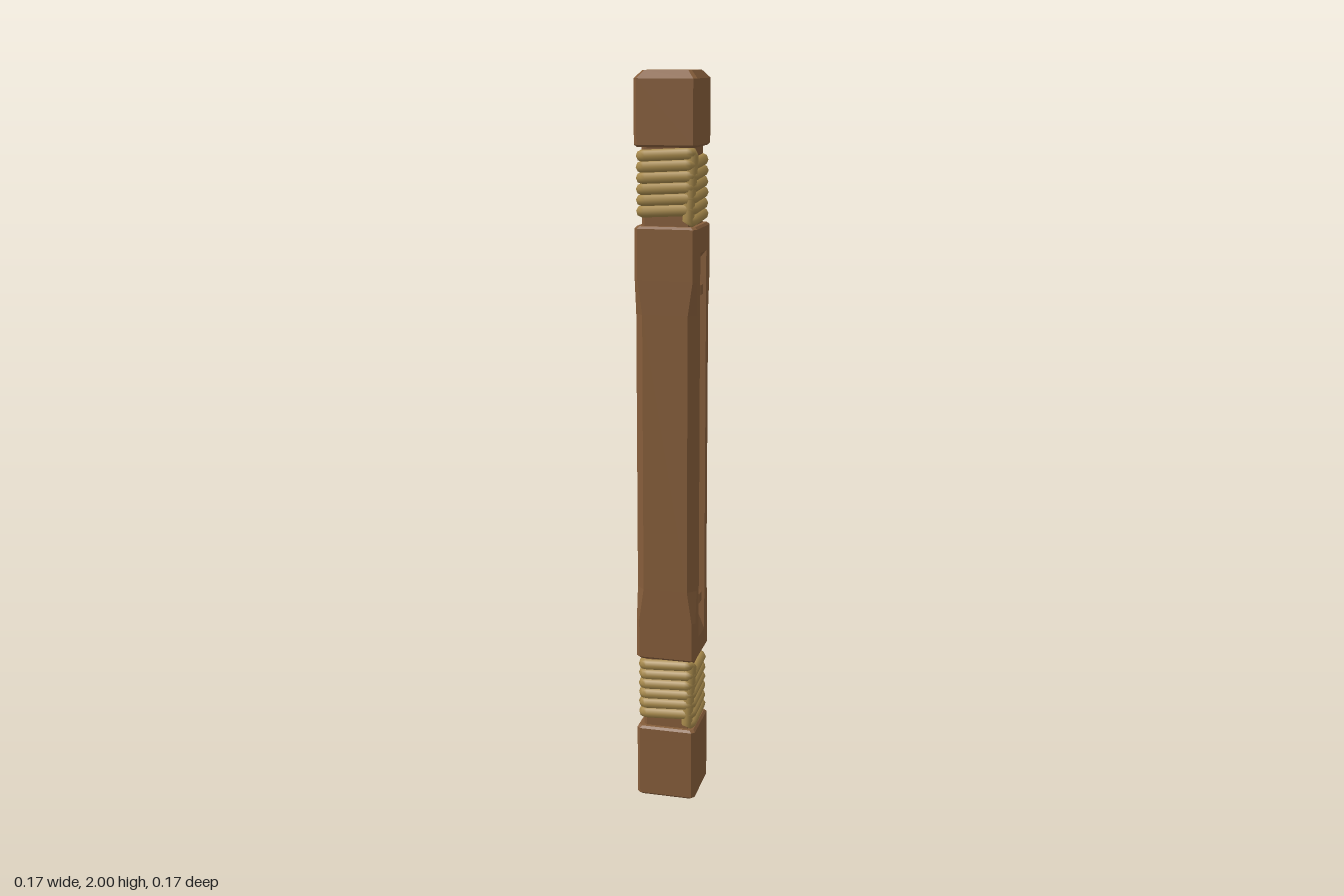
import * as THREE from 'three';

const SLOT = 0.035; // half width of the recessed grooves

// Square outline with chamfered corners and a groove of depth d on the right and back faces
function outline(h, c, d) {
  const k = h - c;
  const w = Math.min(SLOT, k);
  return [
    [h, -k], [h, -w], [h - d, -w], [h - d, w], [h, w], [h, k],
    [k, h], [-k, h], [-h, k], [-h, -k],
    [-k, -h], [-w, -h], [-w, -h + d], [w, -h + d], [w, -h], [k, -h],
  ];
}

// Closed, flat-faced loft through levels of [y, half width, chamfer, groove depth]
function loft(levels) {
  const rings = levels.map(([y, h, c, d = 0]) => outline(h, c, d).map(([x, z]) => [x, y, z]));
  const pos = [];
  const tri = (a, b, c) => pos.push(...a, ...b, ...c);
  const n = rings[0].length;
  for (let i = 0; i < rings.length - 1; i++) {
    for (let j = 0; j < n; j++) {
      const k = (j + 1) % n;
      tri(rings[i][j], rings[i + 1][k], rings[i][k]);
      tri(rings[i][j], rings[i + 1][j], rings[i + 1][k]);
    }
  }
  const bottom = rings[0], top = rings[rings.length - 1];
  for (let j = 0; j < n; j++) {
    const k = (j + 1) % n;
    tri([0, bottom[0][1], 0], bottom[j], bottom[k]);
    tri([0, top[0][1], 0], top[k], top[j]);
  }
  const g = new THREE.BufferGeometry();
  g.setAttribute('position', new THREE.Float32BufferAttribute(pos, 3));
  g.computeVertexNormals();
  return g;
}

// Rope wound around the square neck, closed by a straight strand at the front corner
function ropeGeometry(y0, y1) {
  const r = 0.0155, h = 0.0675, k = 0.058, turns = 6;
  const corners = [[k, h, h, k], [h, -k, k, -h], [-k, -h, -h, -k], [-h, k, -k, h]];
  const lo = y0 + r, rise = (y1 - y0 - 2 * r) / (turns * 4);
  const points = [];
  for (let i = 0; i <= turns * 4; i++) {
    const [ax, az, bx, bz] = corners[i % 4];
    const y = lo + i * rise;
    points.push(new THREE.Vector3(ax, y, az), new THREE.Vector3(bx, y + rise * 0.08, bz));
  }
  const path = new THREE.CatmullRomCurve3(points, true, 'catmullrom', 0.05);
  path.arcLengthDivisions = 1000;
  return new THREE.TubeGeometry(path, 480, r, 8, true);
}

export function createModel() {
  const group = new THREE.Group();
  const wood = new THREE.MeshStandardMaterial({ color: 0x855d3a });
  wood.name = 'brown wood';
  const rope = new THREE.MeshStandardMaterial({ color: 0xa88a4c });
  rope.name = 'tan rope';

  const add = (name, geometry, material, parent = group) => {
    const mesh = new THREE.Mesh(geometry, material);
    mesh.name = name;
    parent.add(mesh);
    return mesh;
  };

  const H = 0.083, C = 0.009, B = 0.006, D = 0.016;

  // End blocks
  add('foot', loft([[0, H - B, C], [B, H, C], [0.21 - B, H, C], [0.21, H - B, C]]), wood);
  add('head', loft([[1.81, H - B, C], [1.81 + B, H, C], [1.98, H, C], [2, 0.064, C * 0.8]]), wood);

  // Shaft with widening corner chamfers and two grooved faces
  add('shaft', loft([
    [0.415, H - B, C], [0.415 + B, H, C], [0.475, H, C],
    [0.515, H, C, D], [0.53, H, C, D], [0.62, H, 0.022, D],
    [1.38, H, 0.022, D], [1.47, H, C, D], [1.52, H, C, D],
    [1.54, H, C], [1.61 - B, H, C], [1.61, H - B, C],
  ]), wood);

  // Recessed necks and their rope bindings
  for (const [label, y0, y1] of [['lower', 0.21, 0.415], ['upper', 1.61, 1.81]]) {
    add(label + 'Neck', loft([[y0 - 0.005, 0.067, C], [y1 + 0.005, 0.067, C]]), wood);
    add(label + 'Rope', ropeGeometry(y0, y1), rope);
  }

  // Bevelled peg heads in the grooves
  const pegHeight = 0.013;
  const pegGeometry = loft([[0, 0.022, 0.0005], [pegHeight, 0.013, 0.0005]]);
  pegGeometry.rotateX(Math.PI / 2);
  for (const [side, turn] of [['right', Math.PI / 2], ['back', Math.PI]]) {
    const pegs = new THREE.Group();
    pegs.name = side + 'Pegs';
    pegs.rotation.y = turn;
    group.add(pegs);
    for (const y of [0.58, 1.44]) {
      add('peg', pegGeometry, wood, pegs).position.set(0, y, H - D);
    }
  }
  return group;
}
